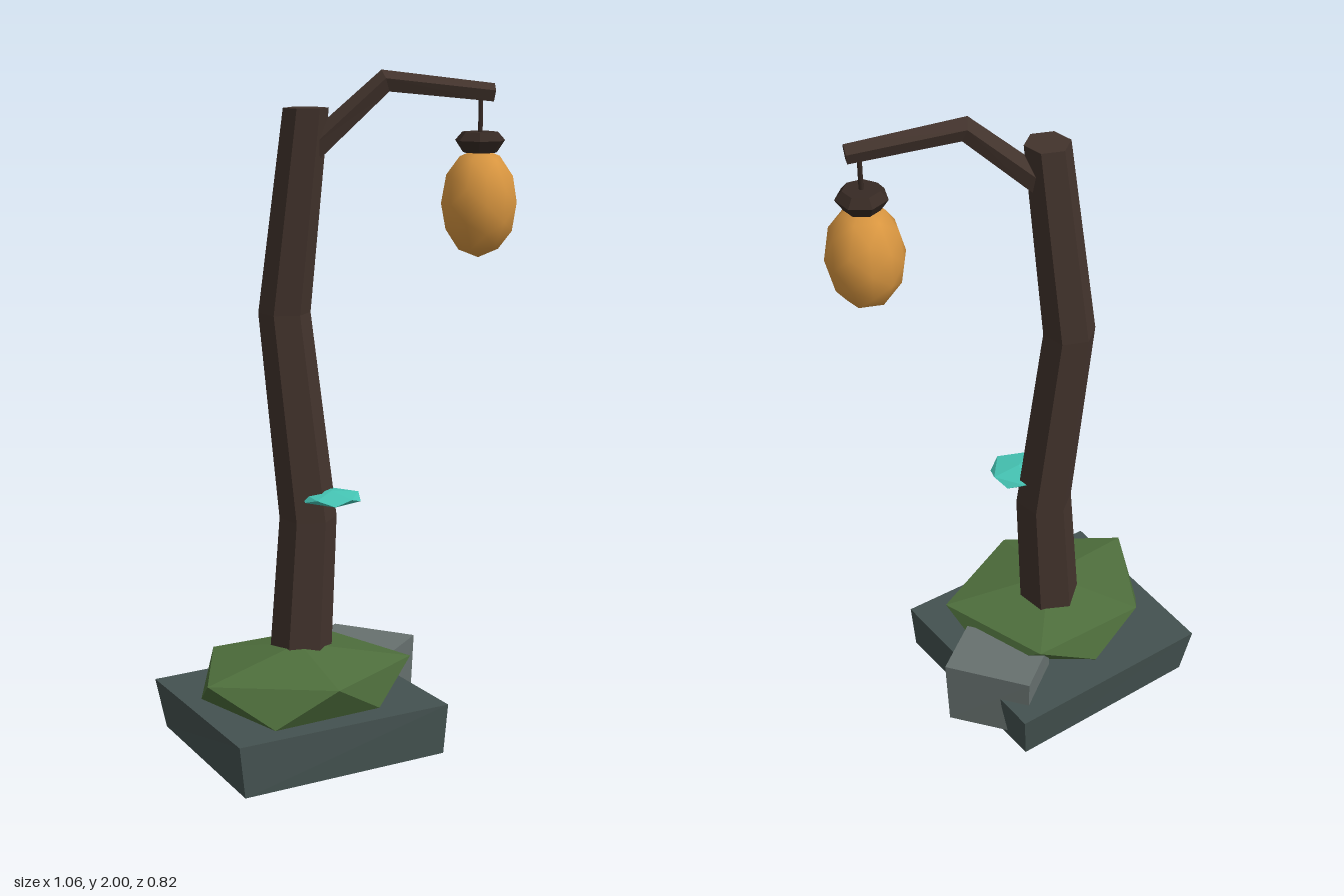
import * as THREE from 'three';

const mat = (name, color) => {
  const m = new THREE.MeshStandardMaterial({ color });
  m.name = name;
  return m;
};

// Unshared corners give crisp facets
function facets(points) {
  const g = new THREE.BufferGeometry().setFromPoints(points);
  g.computeVertexNormals();
  return g;
}

// Skin a stack of rings and cap both ends
function loft(rings) {
  const out = [], n = rings[0].length, top = rings[rings.length - 1], bottom = rings[0];
  for (let k = 0; k < rings.length - 1; k++) {
    for (let i = 0; i < n; i++) {
      const j = (i + 1) % n, a = rings[k], b = rings[k + 1];
      out.push(a[i], a[j], b[j], a[i], b[j], b[i]);
    }
  }
  for (let i = 1; i < n - 1; i++) {
    out.push(top[0], top[i], top[i + 1], bottom[0], bottom[i + 1], bottom[i]);
  }
  return facets(out);
}

// Twenty-faced lump from two staggered five-point rings and two tips
function lump(apex, upper, lower, nadir) {
  const out = [];
  for (let i = 0; i < 5; i++) {
    const j = (i + 1) % 5;
    out.push(apex, upper[i], upper[j], lower[i], upper[j], upper[i]);
    out.push(lower[i], lower[j], upper[j], nadir, lower[j], lower[i]);
  }
  return facets(out);
}

const V = (x, y, z) => new THREE.Vector3(x, y, z);
const level = (y, pts) => pts.map(([x, z]) => V(x, y, z));

// Level polygon ring
function ring(x, y, z, r, sides, turn = 0) {
  return Array.from({ length: sides }, (_, i) => {
    const a = turn + (i / sides) * Math.PI * 2;
    return V(x + r * Math.cos(a), y, z - r * Math.sin(a));
  });
}

// Polygon ring facing along an angle in the xy plane
function tiltedRing(x, y, r, sides, angle) {
  return Array.from({ length: sides }, (_, i) => {
    const a = (i / sides) * Math.PI * 2, c = r * Math.cos(a);
    return V(x - Math.sin(angle) * c, y + Math.cos(angle) * c, r * Math.sin(a));
  });
}

export function createModel() {
  const group = new THREE.Group();
  const wood = mat('dark wood', 0x42332c);
  const capWood = mat('lantern cap brown', 0x372a24);
  const slabStone = mat('dark stone', 0x445250);
  const rockStone = mat('grey stone', 0x67716f);
  const moss = mat('moss green', 0x4e6e3c);
  const teal = mat('teal fungus', 0x45c4b4);
  const amber = mat('amber glow', 0xd99640);

  const add = (name, geometry, material) => {
    const mesh = new THREE.Mesh(geometry, material);
    mesh.name = name;
    group.add(mesh);
    return mesh;
  };

  // Stone slab, slightly narrower at its foot
  const slabFoot = level(0.008, [[0.305, 0.165], [0.07, -0.38], [-0.5, -0.15], [-0.305, 0.405]]);
  const slabTop = level(0.16, [[0.318, 0.165], [0.08, -0.412], [-0.532, -0.16], [-0.32, 0.408]]);
  slabFoot[1].y = 0;
  add('baseSlab', loft([slabFoot, slabTop]), slabStone);

  // Side rock
  const rockFoot = level(0.025, [[0.175, -0.055], [0.27, -0.205], [0.05, -0.335], [-0.05, -0.185]]);
  const rockTop = level(0.248, [[0.175, -0.045], [0.28, -0.205], [0.05, -0.345], [-0.055, -0.185]]);
  add('sideRock', loft([rockFoot, rockTop]), rockStone);

  // Moss mound
  add('mossMound', lump(
    V(-0.11, 0.328, 0.04),
    level(0.272, [[0.225, 0.04], [-0.01, -0.245], [-0.355, -0.115], [-0.395, 0.22], [-0.025, 0.3]]),
    level(0.167, [[0.13, -0.12], [-0.2, -0.205], [-0.403, 0.04], [-0.21, 0.315], [0.11, 0.18]]),
    V(-0.11, 0.11, 0.04)
  ), moss);

  // Crooked six-sided trunk
  add('trunk', loft([
    ring(-0.108, 0.15, 0, 0.095, 6),
    ring(-0.075, 0.7, -0.018, 0.085, 6),
    ring(-0.14, 1.31, -0.035, 0.076, 6),
    ring(-0.08, 1.895, 0, 0.065, 6),
  ]), wood);

  // Bent arm
  add('arm', loft([
    tiltedRing(-0.06, 1.78, 0.038, 5, 0.73),
    tiltedRing(0.145, 1.966, 0.035, 5, 0.31),
    tiltedRing(0.457, 1.932, 0.028, 5, -0.11),
  ]), wood);

  // Cord, cap and lantern
  const cord = add('cord', new THREE.CylinderGeometry(0.007, 0.007, 0.13, 5), capWood);
  cord.position.set(0.42, 1.875, 0);
  add('lanternCap', loft([
    ring(0.42, 1.766, 0, 0.05, 7),
    ring(0.42, 1.8, 0, 0.073, 7),
    ring(0.42, 1.824, 0, 0.052, 7),
  ]), capWood);
  const lantern = add('lantern', new THREE.IcosahedronGeometry(1, 1), amber);
  lantern.scale.set(0.111, 0.157, 0.115);
  lantern.position.set(0.42, 1.622, 0);

  // Shelf fungus on the trunk
  const fx = -0.012, fz = 0.04, r = 0.086;
  add('shelfFungus', lump(
    V(fx, 0.793, fz),
    ring(fx, 0.781, fz, r, 5, 0.3),
    ring(fx, 0.765, fz, r, 5, 0.3 + Math.PI / 5),
    V(fx, 0.753, fz)
  ), teal);

  return group;
}
